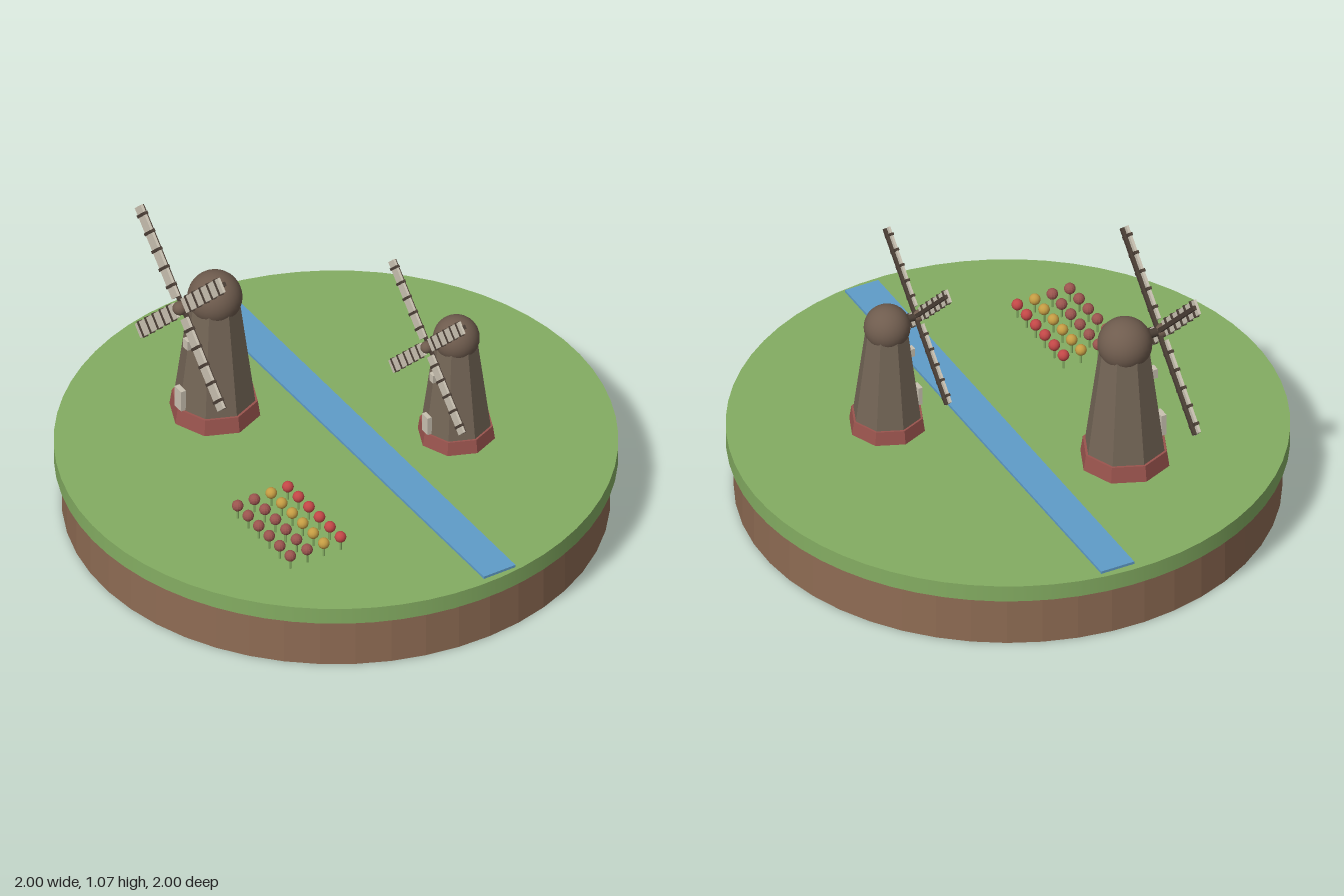
import * as THREE from 'three';

const mat = (name, color, extra = {}) => {
  const m = new THREE.MeshStandardMaterial({ color, ...extra });
  m.name = name;
  return m;
};

export function createModel() {
  const model = new THREE.Group();
  model.name = 'windmillIsland';
  const M = {
    grass: mat('grass green', 0x84ad62),
    soil: mat('soil brown', 0x8f6c54, { flatShading: true }),
    water: mat('water blue', 0x5f9cc8),
    brick: mat('brick red', 0x9a544e, { flatShading: true }),
    tower: mat('tower brown', 0x736556, { flatShading: true }),
    cap: mat('cap brown', 0x6f5c4e),
    sail: mat('sail cream', 0xc9c1b1),
    spar: mat('dark timber', 0x4a3e35),
    red: mat('tulip red', 0xc24747),
    yellow: mat('tulip yellow', 0xc49c43),
  };
  const add = (parent, name, geo, material, x = 0, y = 0, z = 0) => {
    const mesh = new THREE.Mesh(geo, material);
    mesh.name = name;
    mesh.position.set(x, y, z);
    parent.add(mesh);
    return mesh;
  };
  const box = (w, h, d) => new THREE.BoxGeometry(w, h, d);
  const GROUND = 0.265;
  const TURN = -0.558; // shared heading of canal, mills and tulip rows

  // Island
  add(model, 'soil', new THREE.CylinderGeometry(0.972, 0.972, 0.2, 48), M.soil, 0, 0.1, 0);
  add(model, 'grass', new THREE.CylinderGeometry(1, 1, 0.065, 64), M.grass, 0, 0.2325, 0);
  const canal = add(model, 'canal', box(1.945, 0.02, 0.132), M.water, 0.04, 0.265, -0.06);
  canal.rotation.y = TURN;

  // One of the four sails, pointing up from the hub
  function makeSail() {
    const sail = new THREE.Group();
    sail.name = 'sail';
    add(sail, 'sailCloth', box(0.055, 0.35, 0.01), M.sail, 0, 0.215, 0.004);
    add(sail, 'spar', box(0.016, 0.39, 0.014), M.spar, 0, 0.195, -0.007);
    for (let i = 0; i < 5; i++) {
      add(sail, 'slat', box(0.062, 0.011, 0.018), M.spar, 0, 0.085 + i * 0.068, 0.003);
    }
    return sail;
  }

  // Mill standing on local y = 0, sails towards local +z
  function makeMill(name, x, z, scale) {
    const mill = new THREE.Group();
    mill.name = name;
    add(mill, 'brickBase', new THREE.CylinderGeometry(0.156, 0.165, 0.062, 8), M.brick, 0, 0.031, 0);
    add(mill, 'tower', new THREE.CylinderGeometry(0.09, 0.155, 0.495, 8), M.tower, 0, 0.2475, 0);
    add(mill, 'cap', new THREE.SphereGeometry(0.098, 28, 18), M.cap, 0, 0.497, 0);
    add(mill, 'door', box(0.045, 0.085, 0.02), M.sail, 0, 0.107, 0.145);
    add(mill, 'window', box(0.03, 0.038, 0.02), M.sail, 0, 0.335, 0.114);
    // Axle, hub and sail cross
    const axle = add(mill, 'axle', new THREE.CylinderGeometry(0.016, 0.016, 0.09, 12), M.spar, 0, 0.505, 0.105);
    axle.rotation.x = Math.PI / 2;
    add(mill, 'hub', new THREE.SphereGeometry(0.026, 16, 12), M.cap, 0, 0.505, 0.147);
    const cross = new THREE.Group();
    cross.name = 'sails';
    cross.position.set(0, 0.505, 0.141);
    for (let i = 0; i < 4; i++) {
      const sail = makeSail();
      sail.rotation.z = Math.PI / 4 + i * Math.PI / 2;
      cross.add(sail);
    }
    mill.add(cross);
    mill.position.set(x, GROUND, z);
    mill.rotation.y = TURN;
    mill.scale.setScalar(scale);
    model.add(mill);
  }
  makeMill('largeMill', -0.465, 0.024, 1);
  makeMill('smallMill', 0.366, -0.222, 0.85);

  // Tulip bed: four rows of six
  const bed = new THREE.Group();
  bed.name = 'tulipBed';
  bed.position.set(0.0925, GROUND, 0.571);
  bed.rotation.y = TURN;
  const headGeo = new THREE.SphereGeometry(0.021, 12, 10);
  const stemGeo = new THREE.CylinderGeometry(0.005, 0.005, 0.05, 6);
  const purple = M.brick;
  [M.red, M.yellow, purple, purple].forEach((color, row) => {
    for (let i = 0; i < 6; i++) {
      const x = (i - 2.5) * 0.07, z = (row - 1.5) * 0.07;
      add(bed, 'stem', stemGeo, M.grass, x, 0.025, z);
      add(bed, 'tulipHead', headGeo, color, x, 0.055, z);
    }
  });
  model.add(bed);
  return model;
}
